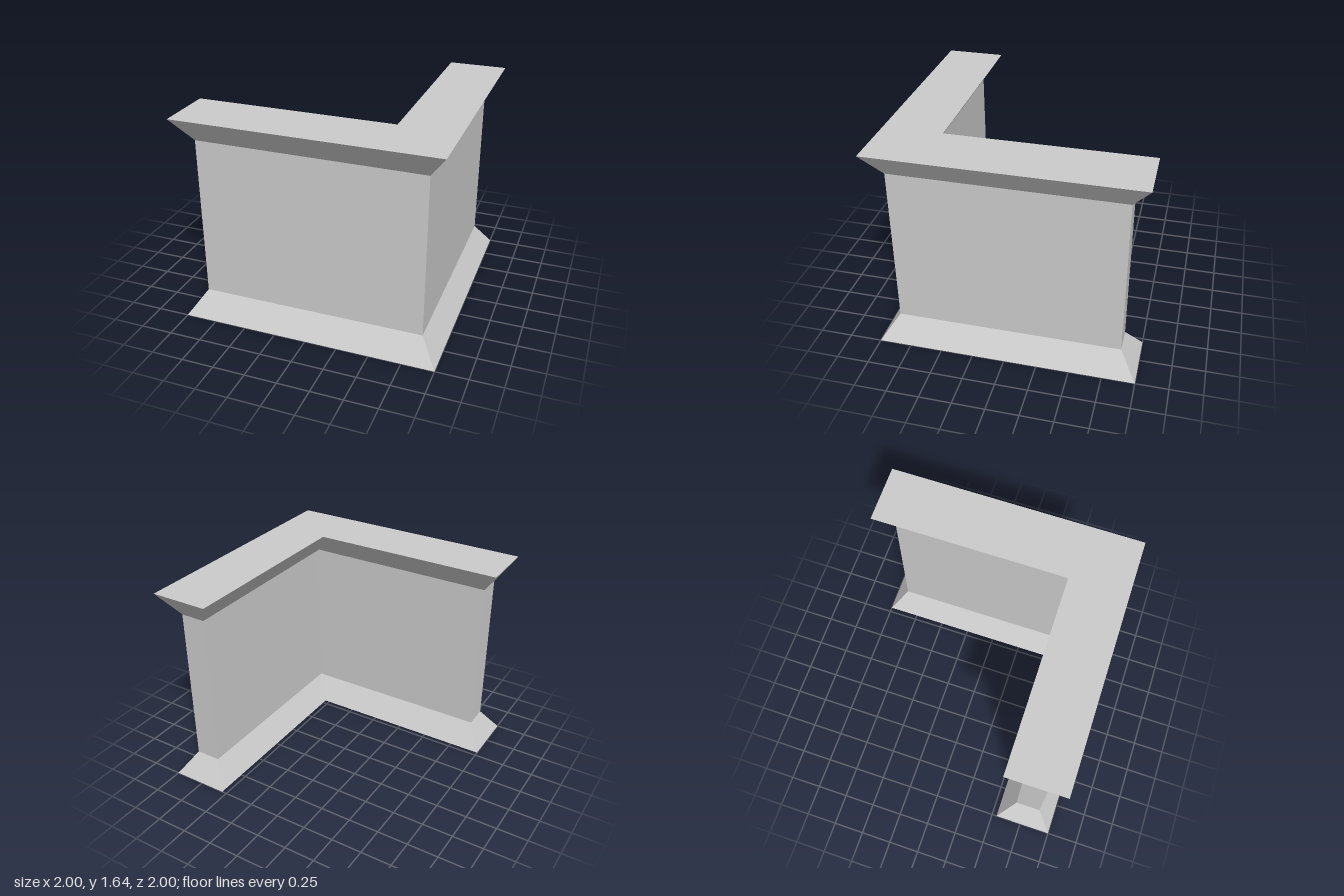
import * as THREE from 'three';

const INNER = 0.54; // inner edge of the L at floor level
const INSET = 0.13; // how far the wall stands back from the mouldings

// L-shaped outline at height y, shrunk by d on every side (anticlockwise from above)
function outline(y, d) {
  const o = 1 - d, i = INNER + d;
  return [[-o, o], [o, o], [o, -o], [i, -o], [i, i], [-o, i]].map(([x, z]) => [x, y, z]);
}

// Joins two outlines with flat sides, optionally closing the bottom or top
function section(name, material, low, high, { bottom = false, top = false } = {}) {
  const pos = [];
  const tri = (a, b, c) => pos.push(...a, ...b, ...c);
  const n = low.length;
  for (let i = 0; i < n; i++) {
    const j = (i + 1) % n;
    tri(low[i], low[j], high[j]);
    tri(low[i], high[j], high[i]);
  }
  // Fans start at the outer corner, from which the whole L is visible
  for (let k = 2; k < n; k++) {
    const a = k, b = (k + 1) % n;
    if (top) tri(high[1], high[a], high[b]);
    if (bottom) tri(low[1], low[b], low[a]);
  }
  const geometry = new THREE.BufferGeometry();
  geometry.setAttribute('position', new THREE.Float32BufferAttribute(pos, 3));
  geometry.computeVertexNormals();
  const mesh = new THREE.Mesh(geometry, material);
  mesh.name = name;
  return mesh;
}

export function createModel() {
  const group = new THREE.Group();
  group.name = 'cornerWall';
  const material = new THREE.MeshStandardMaterial({ color: 0xcccccc, flatShading: true });

  const floor = outline(0, 0);
  const wallFoot = outline(0.19, INSET);
  const wallHead = outline(1.455, INSET);
  const crown = outline(1.645, 0);

  group.add(
    section('baseMoulding', material, floor, wallFoot, { bottom: true }),
    section('wall', material, wallFoot, wallHead),
    section('topMoulding', material, wallHead, crown, { top: true }),
  );
  return group;
}
